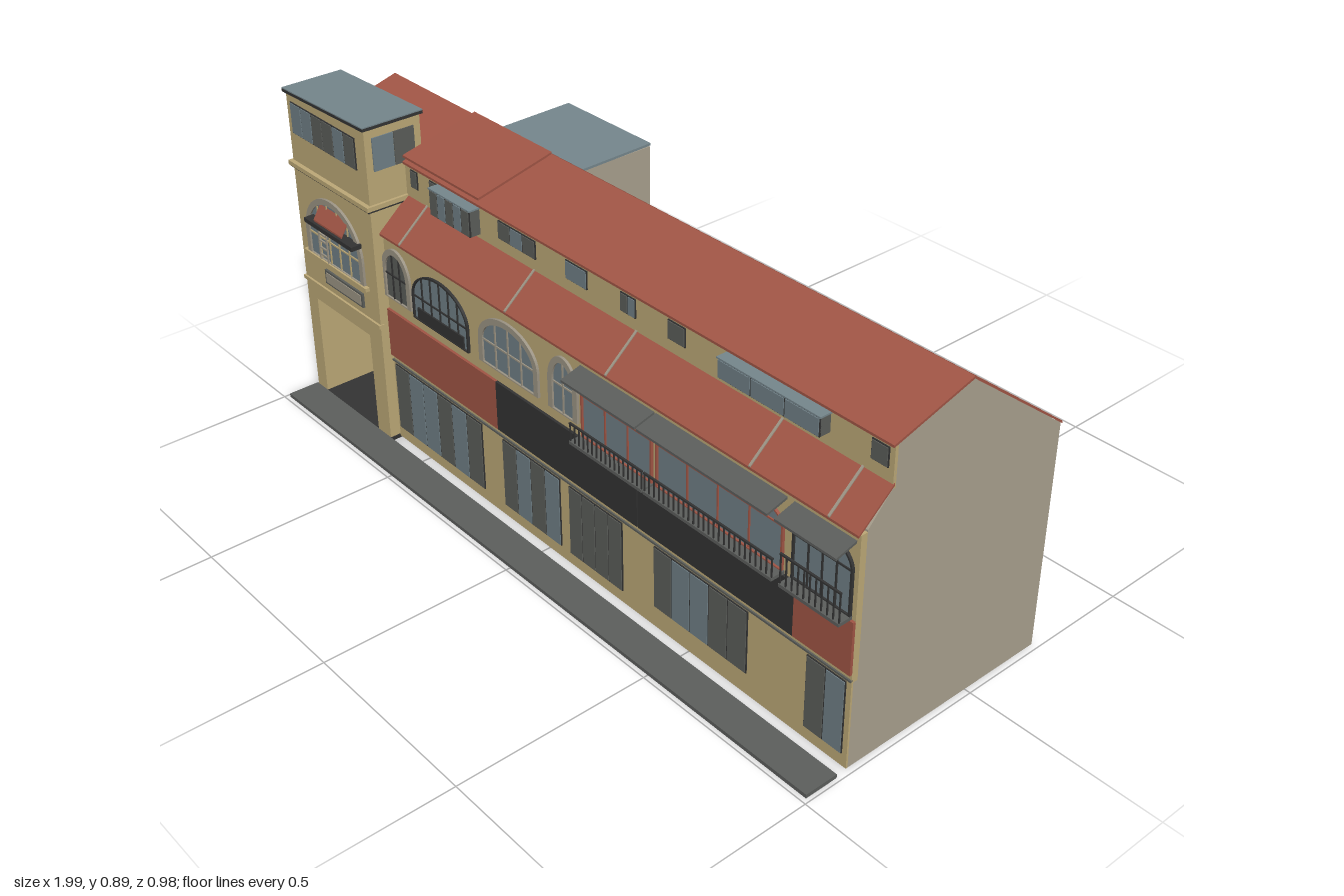
import * as THREE from 'three';

const mat = (name, color, side = THREE.FrontSide) => {
  const m = new THREE.MeshStandardMaterial({ color, side });
  m.name = name;
  return m;
};

export function createModel() {
  const root = new THREE.Group();
  root.name = 'arcadeBuilding';
  const wall = mat('ochrePlaster', 0xbca877);
  const stone = mat('greyPlaster', 0xa8a08e);
  const tile = mat('terracotta', 0xa05545);
  const glass = mat('paleGlass', 0x6f7f86);
  const dark = mat('darkGlass', 0x5b5d59);
  const coal = mat('charcoal', 0x333333);
  const paving = mat('paving', 0x5c5e5c);
  const slate = mat('flatRoof', 0x75868c);
  const trim = mat('greyTrim', 0x9c9484);

  const add = (name, geo, m) => {
    const mesh = new THREE.Mesh(geo, m);
    mesh.name = name;
    root.add(mesh);
    return mesh;
  };
  // box given by its limits
  const box = (name, m, x0, x1, y0, y1, z0, z1) => add(name,
    new THREE.BoxGeometry(x1 - x0, y1 - y0, z1 - z0)
      .translate((x0 + x1) / 2, (y0 + y1) / 2, (z0 + z1) / 2), m);
  const poly = (pts) => new THREE.Shape(pts.map((p) => new THREE.Vector2(...p)));
  // front outline pushed along z
  const front = (name, m, shape, z0, z1) => add(name,
    new THREE.ExtrudeGeometry(shape, { depth: z1 - z0, bevelEnabled: false, curveSegments: 12 })
      .translate(0, 0, z0), m);
  // side outline of [z, y] points pushed along x
  const side = (name, m, pts, x0, x1) => add(name,
    new THREE.ExtrudeGeometry(poly(pts), { depth: x1 - x0, bevelEnabled: false })
      .rotateY(-Math.PI / 2).translate(x1, 0, 0), m);
  const slab = (name, m, x0, x1, za, ya, zb, yb, t = 0.006) =>
    side(name, m, [[za, ya], [zb, yb], [zb, yb + t], [za, ya + t]], x0, x1);
  // window: dark frame with a row of panes, g = pale, d = dark
  const windowRow = (name, x0, x1, y0, y1, z, panes, frame = coal) => {
    box(name + 'Frame', frame, x0, x1, y0, y1, z - 0.002, z + 0.002);
    const w = (x1 - x0) / panes.length, e = 0.002;
    [...panes].forEach((p, i) => box(name + 'Pane', p === 'g' ? glass : dark,
      x0 + i * w + e, x0 + (i + 1) * w - e, y0 + e, y1 - e, z, z + 0.004));
  };
  const arch = (x0, x1, y0, spring, top) => {
    const s = new THREE.Shape();
    s.moveTo(x0, y0);
    s.lineTo(x1, y0);
    s.lineTo(x1, spring);
    s.absellipse((x0 + x1) / 2, spring, (x1 - x0) / 2, top - spring, 0, Math.PI, false);
    return s;
  };
  // arched window with surround and glazing bars
  const archWindow = (name, x0, x1, y0, spring, top, z, bars, surround, barMat, m = glass) => {
    const b = surround === trim ? 0.016 : 0.005;
    const outer = arch(x0 - b, x1 + b, y0, spring, top + b);
    outer.holes.push(arch(x0, x1, y0 + 0.003, spring, top));
    front(name + 'Surround', surround, outer, z, z + 0.007);
    front(name + 'Glass', m, arch(x0, x1, y0, spring, top), z, z + 0.002);
    const cx = (x0 + x1) / 2, r = (x1 - x0) / 2;
    for (let i = 1; i < bars; i++) {
      const x = x0 + (x1 - x0) * i / bars;
      const h = spring + (top - spring) * Math.sqrt(1 - ((x - cx) / r) ** 2);
      box(name + 'Bar', barMat, x - 0.002, x + 0.002, y0, h, z, z + 0.005);
    }
    box(name + 'Transom', barMat, x0, x1, spring - 0.003, spring + 0.001, z, z + 0.005);
  };

  // pavement
  box('pavement', paving, -0.99, 0.99, 0, 0.01, 0.4, 0.488);

  // main hall
  side('mainHall', stone, [[0.368, 0.006], [0.368, 0.235], [0.355, 0.235], [0.355, 0.605], [0.29, 0.675],
    [0.29, 0.77], [0.08, 0.83], [-0.22, 0.598], [-0.22, 0.006]], -0.63, 0.988);
  box('lowerFacade', wall, -0.63, 0.988, 0.006, 0.235, 0.367, 0.372);
  box('upperFacade', wall, -0.63, 0.988, 0.235, 0.6, 0.35, 0.372);
  box('atticFacade', wall, -0.63, 0.988, 0.67, 0.768, 0.285, 0.293);
  box('stringCourse', dark, -0.63, 0.988, 0.238, 0.243, 0.37, 0.376);

  // hall roofs
  slab('backRoof', tile, -0.63, 0.99, -0.223, 0.596, 0.08, 0.83);
  slab('upperFrontRoof', tile, -0.63, 0.99, 0.08, 0.83, 0.3, 0.768);
  slab('raisedRoofEnd', tile, -0.63, -0.32, 0.08, 0.835, 0.298, 0.784);
  slab('lowerFrontRoof', tile, -0.63, 0.99, 0.29, 0.678, 0.382, 0.599);
  for (const x of [-0.545, -0.12, 0.24, 0.69, 0.91])
    slab('roofSeam', trim, x - 0.003, x + 0.003, 0.29, 0.683, 0.382, 0.604, 0.004);

  // passage floor and walls
  box('passageFloor', coal, -0.985, -0.63, 0, 0.01, -0.49, 0.4);
  box('leftPassageWall', wall, -0.987, -0.94, 0.008, 0.296, -0.49, 0.235);
  box('rightPassageWall', stone, -0.69, -0.63, 0.008, 0.296, -0.49, 0.235);
  box('rearLintel', stone, -0.94, -0.69, 0.2, 0.296, -0.49, -0.472);

  // rear block
  box('rearBlock', stone, -0.985, -0.63, 0.295, 0.572, -0.49, -0.21);
  box('rearBlockLeftFace', wall, -0.987, -0.985, 0.295, 0.572, -0.49, -0.21);
  slab('rearBlockRoof', slate, -0.988, -0.629, -0.492, 0.575, -0.212, 0.57, 0.007);

  // gabled link behind the tower
  side('gableLink', wall, [[0.24, 0.295], [0.24, 0.775], [0.075, 0.823], [-0.212, 0.598], [-0.212, 0.295]],
    -0.987, -0.63);
  slab('linkBackRoof', tile, -0.99, -0.63, -0.215, 0.596, 0.075, 0.823);
  slab('linkFrontRoof', tile, -0.99, -0.63, 0.075, 0.823, 0.24, 0.776);

  // niche lamp window on the left wall
  box('nicheFrame', dark, -0.995, -0.987, 0.29, 0.4, 0.095, 0.15);
  box('nicheGlass', glass, -0.997, -0.994, 0.31, 0.385, 0.108, 0.137);
  box('nicheSill', coal, -1, -0.987, 0.29, 0.305, 0.085, 0.16);

  // tower with passage opening
  front('tower', wall, poly([[-0.985, 0.008], [-0.94, 0.008], [-0.94, 0.295], [-0.69, 0.295], [-0.69, 0.008],
    [-0.633, 0.008], [-0.633, 0.885], [-0.985, 0.872]]), 0.24, 0.4);
  front('towerRoof', coal, poly([[-0.99, 0.871], [-0.624, 0.884], [-0.624, 0.892], [-0.99, 0.879]]), 0.235, 0.408);
  front('towerRoofTop', slate, poly([[-0.99, 0.879], [-0.624, 0.892], [-0.624, 0.895], [-0.99, 0.882]]), 0.235, 0.408);
  box('towerCornice', wall, -0.99, -0.625, 0.672, 0.684, 0.29, 0.412);
  box('towerCorniceShadow', coal, -0.988, -0.627, 0.667, 0.672, 0.29, 0.408);
  box('towerBand', wall, -0.988, -0.63, 0.34, 0.35, 0.39, 0.406);
  windowRow('towerWindow', -0.965, -0.675, 0.765, 0.85, 0.401, 'ggddgd');
  for (const [x, s] of [[-0.633, 1], [-0.985, -1]]) {
    const [a, b] = s > 0 ? [x, x + 0.003] : [x - 0.003, x];
    box('towerSidePane', glass, a, b, 0.77, 0.858, 0.32, 0.38);
    box('towerSidePane', dark, a, b, 0.77, 0.858, 0.26, 0.318);
  }
  box('towerSideSlit', dark, -0.99, -0.985, 0.58, 0.65, 0.34, 0.38);

  // tower arch, hood, ladder and blank plaque
  archWindow('towerArch', -0.93, -0.7, 0.44, 0.505, 0.612, 0.4, 5, trim, wall);
  slab('archHood', tile, -0.87, -0.74, 0.4, 0.6, 0.425, 0.56, 0.005);
  box('archHoodBase', coal, -0.91, -0.69, 0.545, 0.557, 0.4, 0.43);
  for (const x of [-0.882, -0.846]) box('ladderRail', trim, x - 0.002, x + 0.002, 0.44, 0.55, 0.406, 0.41);
  for (let y = 0.455; y < 0.55; y += 0.02) box('ladderRung', trim, -0.882, -0.846, y, y + 0.004, 0.406, 0.41);
  box('plaqueFrame', dark, -0.875, -0.7, 0.372, 0.412, 0.4, 0.406);
  box('plaque', trim, -0.868, -0.707, 0.378, 0.406, 0.404, 0.408);
  box('archSill', wall, -0.96, -0.67, 0.432, 0.442, 0.398, 0.412);

  // shop windows
  const shops = [[-0.62, -0.25, 0.04, 'dggdgd'], [-0.165, 0.055, 0.04, 'dgdg'], [0.09, 0.28, 0.04, 'dddd'],
    [0.39, 0.69, 0.065, 'dggdd'], [0.865, 0.975, 0.04, 'dg']];
  for (const [a, b, y, p] of shops) windowRow('shopWindow', a, b, y, 0.232, 0.373, p);

  // fascia panels
  const panels = [[-0.63, -0.175, tile], [-0.175, 0.338, coal], [0.341, 0.825, coal], [0.825, 0.988, tile]];
  for (const [a, b, m] of panels) box('fasciaPanel', m, a, b, 0.257, 0.392, 0.371, 0.379);

  // first floor arches
  archWindow('endArch', -0.625, -0.535, 0.43, 0.5, 0.56, 0.372, 3, trim, coal, dark);
  archWindow('latticeArch', -0.505, -0.285, 0.42, 0.485, 0.56, 0.372, 6, coal, coal);
  box('latticeRail', coal, -0.49, -0.3, 0.42, 0.455, 0.374, 0.378);
  archWindow('wideArch', -0.22, -0.025, 0.425, 0.49, 0.555, 0.372, 4, trim, trim);
  archWindow('narrowArch', 0.045, 0.118, 0.425, 0.5, 0.56, 0.372, 2, trim, trim);
  archWindow('redArch', 0.152, 0.382, 0.4, 0.51, 0.565, 0.372, 3, tile, tile);
  archWindow('wideRedArch', 0.405, 0.782, 0.4, 0.51, 0.565, 0.372, 4, tile, tile);
  archWindow('cornerArch', 0.818, 0.972, 0.4, 0.51, 0.565, 0.372, 4, coal, coal);

  // canopies and balconies
  for (const [a, b, h] of [[0.142, 0.39, 0.448], [0.395, 0.79, 0.448], [0.81, 0.978, 0.475]]) {
    slab('canopy', paving, a, b, 0.372, 0.577, 0.428, 0.562);
    box('balconyFloor', paving, a, b, 0.392, 0.4, 0.372, 0.41);
    box('balconyRail', coal, a, b, h - 0.004, h, 0.404, 0.409);
    const n = Math.round((b - a) / 0.016);
    for (let i = 0; i <= n; i++) {
      const x = a + 0.002 + (b - a - 0.004) * i / n;
      box('baluster', coal, x - 0.0015, x + 0.0015, 0.4, h, 0.405, 0.408);
    }
  }

  // attic windows and dormers
  const attic = [[-0.605, -0.577, 'd'], [-0.525, -0.495, 'd'], [-0.25, -0.11, 'dgd'], [0, 0.075, 'g'],
    [0.19, 0.24, 'dg'], [0.345, 0.4, 'd'], [0.93, 0.975, 'd']];
  for (const [a, b, p] of attic) windowRow('atticWindow', a, b, 0.713, 0.76, 0.294, p);
  for (const [a, b, y, p] of [[-0.485, -0.325, 0.693, 'dgdgd'], [0.53, 0.82, 0.715, 'ggg']]) {
    box('dormer', dark, a, b, y, 0.76, 0.29, 0.32);
    box('dormerRoof', slate, a - 0.003, b + 0.003, 0.76, 0.764, 0.29, 0.325);
    windowRow('dormerWindow', a, b, y, 0.76, 0.321, p);
  }
  return root;
}
